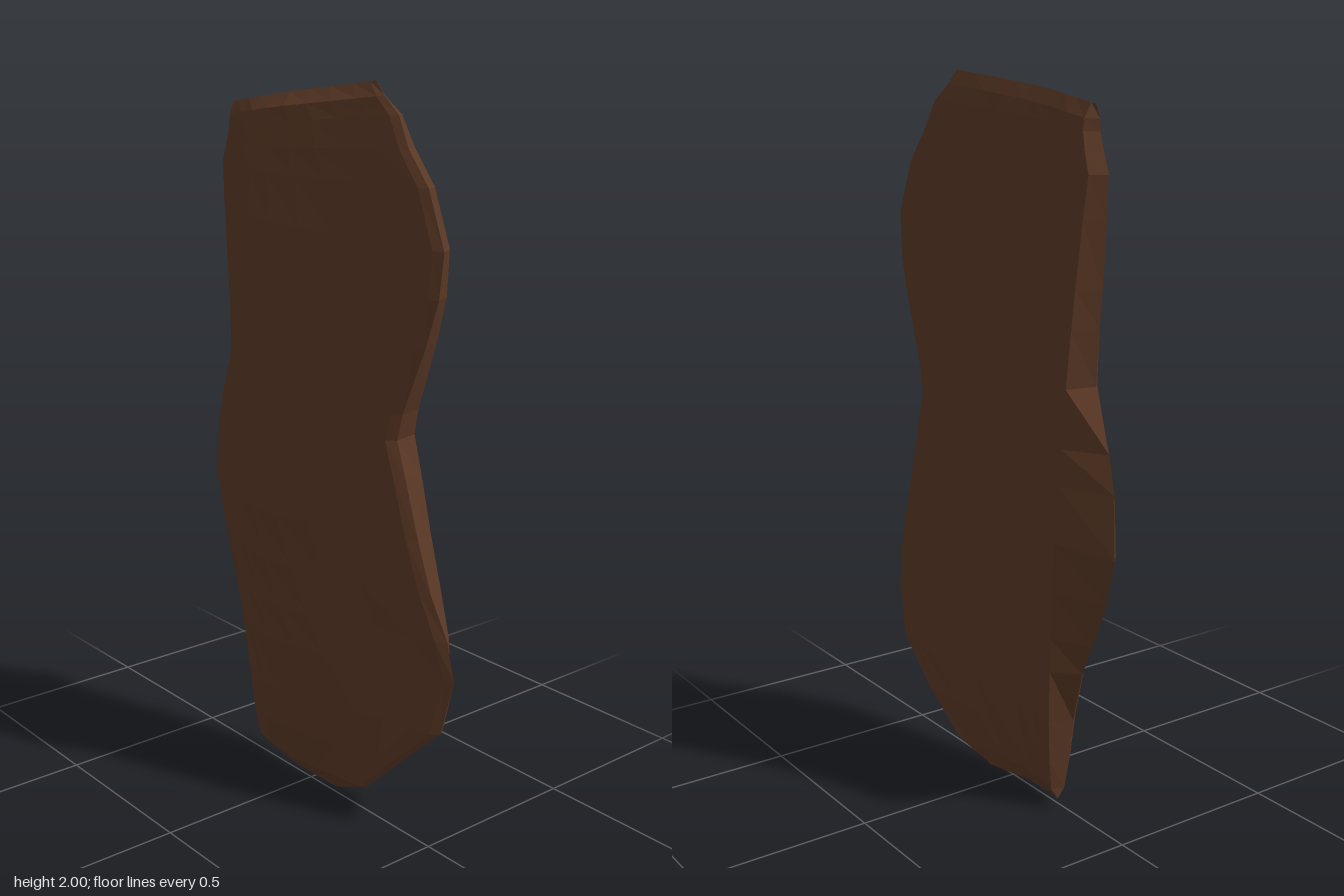
import * as THREE from 'three';

// Outline of the slab from top to bottom: front z, front y, back z, back y
const ROWS = [
  [0.21, 2, -0.415, 1.925], [0.25, 1.965, -0.415, 1.89], [0.3, 1.92, -0.415, 1.86],
  [0.34, 1.84, -0.43, 1.81], [0.41, 1.75, -0.45, 1.76], [0.465, 1.6, -0.44, 1.65],
  [0.455, 1.48, -0.42, 1.48], [0.42, 1.36, -0.405, 1.38], [0.35, 1.17, -0.385, 1.23],
  [0.335, 1.1, -0.46, 1.07], [0.365, 1, -0.49, 0.97], [0.41, 0.84, -0.515, 0.81],
  [0.455, 0.7, -0.46, 0.67], [0.5, 0.58, -0.39, 0.53], [0.52, 0.47, -0.33, 0.43],
  [0.485, 0.31, -0.27, 0.27], [0.35, 0.18, -0.255, 0.15], [0.22, 0.05, -0.245, 0.06],
  [0.09, 0, -0.24, 0.03],
];

// Curved cross-section: x of the outer face, rim and inner face along z
const Z = [-0.52, -0.49, -0.4, -0.33, -0.2, -0.08, 0.06, 0.3, 0.46, 0.52];
const OUTER = [0.06, 0.03, 0.01, -0.015, -0.085, -0.105, -0.088, -0.01, 0.02, 0.06];
const RIM = [0.06, 0.06, 0.055, 0.04, 0.01, 0, 0.015, 0.05, 0.06, 0.06];
const INNER = [0.06, 0.09, 0.1, 0.1, 0.06, 0.05, 0.06, 0.095, 0.09, 0.06];
const COLUMNS = [0, 0.03, 0.12, 0.24, 0.36, 0.48, 0.6, 0.72, 0.84, 0.97, 1];

const { lerp, clamp } = THREE.MathUtils;

function sample(table, z) {
  let i = 0;
  while (i < Z.length - 2 && z > Z[i + 1]) i++;
  return lerp(table[i], table[i + 1], clamp((z - Z[i]) / (Z[i + 1] - Z[i]), 0, 1));
}

// One closed ring: outer face front to back, then inner face back to front
function ring([zf, yf, zb, yb], row) {
  const isRim = row === 0 || row === ROWS.length - 1;
  const points = [];
  const add = (u, inner) => {
    const y = lerp(yf, yb, u);
    // The inner face stops at a crease before the back edge
    const back = inner ? Math.max(zb, -0.24 - 0.12 * y) : zb;
    const z = lerp(zf, back, u);
    const swell = isRim ? 0 : Math.sqrt(Math.max(0, 1 - (y - 1) ** 2));
    const isEdge = u === 0 || u === 1;
    const amount = isEdge ? swell * 0.7 : swell;
    points.push(lerp(sample(RIM, z), sample(inner ? INNER : OUTER, z), amount), y, z);
  };
  COLUMNS.forEach((u) => add(u, false));
  COLUMNS.slice(1, -1).reverse().forEach((u) => add(u, true));
  return points;
}

function barkGeometry() {
  const positions = ROWS.flatMap(ring);
  const n = COLUMNS.length * 2 - 2;
  const index = [];
  for (let i = 0; i < ROWS.length - 1; i++) {
    for (let j = 0; j < n; j++) {
      const k = (j + 1) % n;
      const a = i * n + j, b = i * n + k, c = a + n, d = b + n;
      index.push(a, b, c, b, d, c);
    }
  }
  const geometry = new THREE.BufferGeometry();
  geometry.setAttribute('position', new THREE.Float32BufferAttribute(positions, 3));
  geometry.setIndex(index);
  geometry.computeVertexNormals();
  return geometry;
}

export function createModel() {
  const group = new THREE.Group();
  group.name = 'barkPiece';
  const brown = new THREE.MeshStandardMaterial({ color: 0x5a3825, flatShading: true });
  brown.name = 'barkBrown';
  const bark = new THREE.Mesh(barkGeometry(), brown);
  bark.name = 'barkSlab';
  group.add(bark);
  return group;
}
